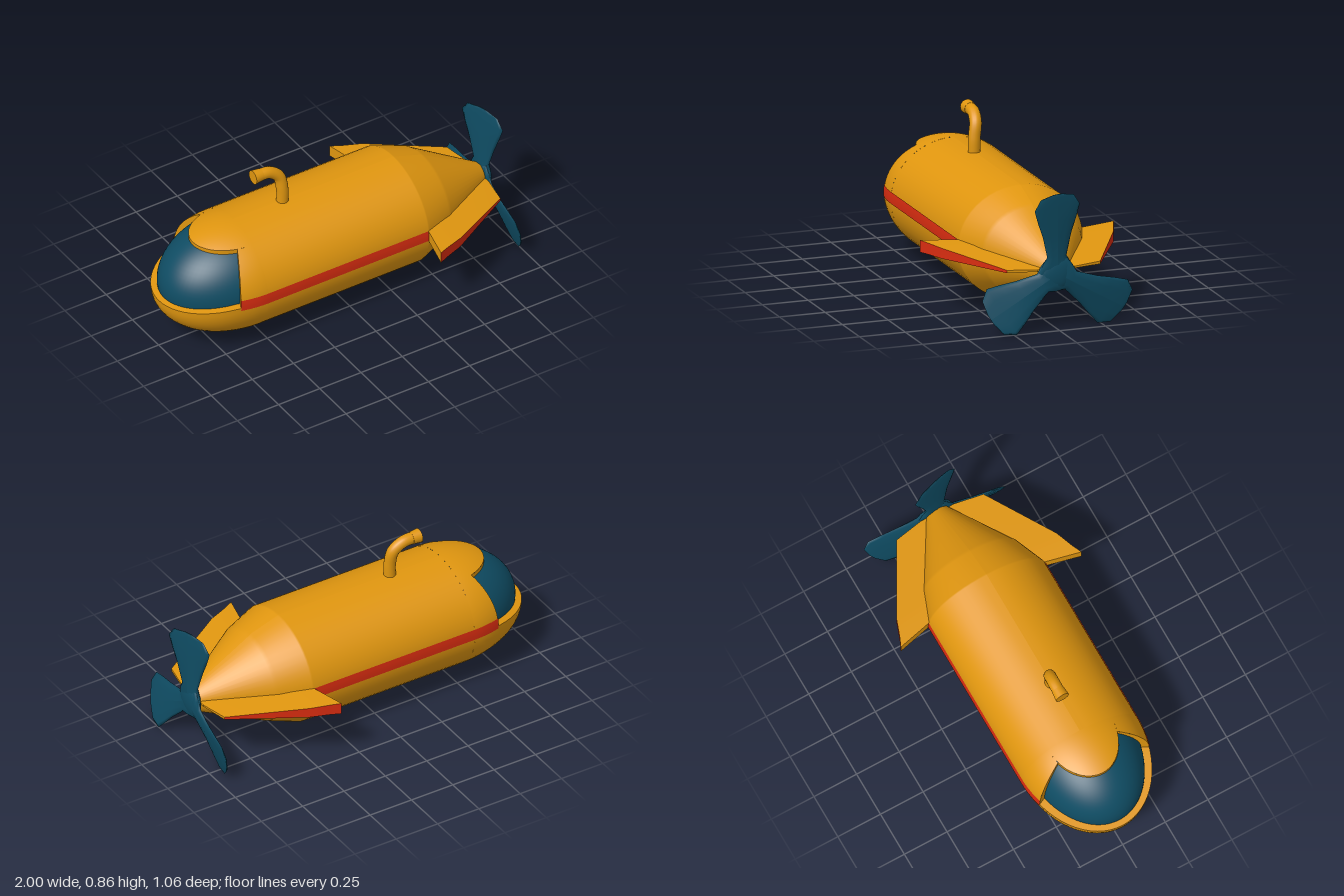
import * as THREE from 'three';

const orange = new THREE.MeshStandardMaterial({ color: 0xe0960f, side: THREE.DoubleSide });
const blue = new THREE.MeshStandardMaterial({ color: 0x0f4c63, side: THREE.DoubleSide });
const red = new THREE.MeshStandardMaterial({ color: 0xd82c10, side: THREE.DoubleSide });

const Y = 0.34, RY = 0.305, RZ = 0.342; // hull axis height and radii
const NX = -0.55, NA = 0.45;            // nose centre and length
const H = Math.PI / 2;
const ROOF = 0.57;                      // polar angle where the roof ends
const CUT = 1.22;                       // half angle of the window opening

function add(parent, name, geometry, material) {
  const mesh = new THREE.Mesh(geometry, material);
  mesh.name = name;
  parent.add(mesh);
  return mesh;
}

// Surface through rows of [x, y, z] points
function loft(rows) {
  const n = rows[0].length, index = [];
  for (let i = 0; i < rows.length - 1; i++)
    for (let j = 0; j < n - 1; j++) {
      const a = i * n + j, b = a + n;
      index.push(a, a + 1, b, b, a + 1, b + 1);
    }
  const g = new THREE.BufferGeometry();
  g.setAttribute('position', new THREE.Float32BufferAttribute(rows.flat(2), 3));
  g.setIndex(index);
  g.computeVertexNormals();
  return g;
}

// Piece of the ellipsoidal nose
function nosePiece(phi, phiLen, theta, thetaLen, a = NA, b = RY, c = RZ) {
  return new THREE.SphereGeometry(1, 32, 16, phi, phiLen, theta, thetaLen)
    .scale(a, b, c).translate(NX, Y, 0);
}

// Dip the rim of the lower nose towards its tip
function dip(g) {
  const p = g.attributes.position;
  for (let i = 0; i < p.count; i++) {
    const t = Math.max(0, (-0.7 - p.getX(i)) / 0.3);
    const d = 0.035 * t * (1 + (p.getY(i) - Y) / RY);
    p.setY(i, p.getY(i) - d);
  }
  g.computeVertexNormals();
  return g;
}

function buildHull(group) {
  // Body and tapered tail: x, centre y, vertical radius, side radius
  const sections = [
    [NX, Y, RY, RZ], [0.42, Y, RY, RZ], [0.43, Y - 0.001, RY - 0.003, RZ - 0.003],
    [0.59, 0.34, 0.248, 0.276], [0.61, 0.338, 0.237, 0.264],
    [0.95, 0.315, 0.065, 0.06], [0.965, 0.313, 0.001, 0.001],
  ];
  const rows = sections.map(([x, y, ry, rz]) => Array.from({ length: 49 }, (_, i) => {
    const t = (i % 48) / 48 * Math.PI * 2;
    return [x, y + ry * Math.cos(t), rz * Math.sin(t)];
  }));
  add(group, 'hullBody', loft(rows), orange);

  // Nose: lower bowl, ledge, roof with lip, and side cheeks
  add(group, 'noseBowl', dip(nosePiece(-H, Math.PI, H, H)), orange);
  const ledge = new THREE.RingGeometry(0.8, 1, 32, 3, H, Math.PI)
    .rotateX(-H).scale(NA, 1, RZ).translate(NX, Y, 0);
  add(group, 'noseLedge', dip(ledge), orange);
  add(group, 'noseRoof', nosePiece(-H, Math.PI, 0, ROOF), orange);

  const s = Math.sin(ROOF), top = Y + RY * Math.cos(ROOF);
  const ring = (k, y) => Array.from({ length: 25 }, (_, i) => {
    const p = -CUT + 2 * CUT * i / 24;
    return [NX - NA * s * k * Math.cos(p), y, RZ * s * k * Math.sin(p)];
  });
  add(group, 'roofLip', loft([ring(1, top), ring(1, top - 0.025)]), orange);
  add(group, 'roofUnderside', loft([ring(1, top - 0.025), ring(0.6, top - 0.025)]), orange);

  for (const side of [1, -1]) {
    const start = side > 0 ? CUT : -H;
    add(group, 'noseCheek', nosePiece(start, H - CUT, ROOF, H - ROOF), orange);
    const wall = [1, 0.8].map(k => Array.from({ length: 13 }, (_, i) => {
      const t = ROOF + (H - ROOF) * i / 12, r = k * Math.sin(t);
      return [NX - NA * r * Math.cos(CUT), Y + RY * Math.cos(t), side * RZ * r * Math.sin(CUT)];
    }));
    add(group, 'windowFrame', loft(wall), orange);
  }

  // Recessed wraparound window
  add(group, 'window', nosePiece(-CUT - 0.1, 2 * CUT + 0.2, 0.5, 1.24, 0.42, 0.29, 0.3), blue);
}

// Band lying on the hull side
function buildStripe(group, side) {
  const xs = [-0.705, -0.66, -0.61, -0.58, NX, 0.42];
  const rows = xs.map(x => {
    const k = x < NX ? Math.sqrt(1 - ((x - NX) / NA) ** 2) : 1;
    return [0.325, 0.345, 0.365, 0.385].map(y => {
      const v = (y - Y) / (RY * k);
      return [x, y, side * (RZ * k * Math.sqrt(1 - v * v) + 0.003)];
    });
  });
  add(group, 'sideStripe', loft(rows), red);
}

// Swept tail fin with a coloured outer edge
function buildFin(group, side) {
  const fin = new THREE.Group();
  fin.name = 'tailFin';
  // Outline: x, outer z, inner z, top y
  const outline = [
    [0.375, 0.53, 0.53, 0.387], [0.43, 0.506, 0.3, 0.383],
    [0.53, 0.47, 0.24, 0.378], [0.91, 0.255, 0.05, 0.338], [0.94, 0.1, 0.03, 0.333],
  ];
  const bottom = 0.323;
  const outer = o => [[o[0], o[3], side * o[1]], [o[0], bottom, side * o[1]]];
  const inner = o => [[o[0], bottom, side * o[2]], [o[0], o[3], side * o[2]]];
  add(fin, 'finTop', loft(outline.map(o => [inner(o)[1], outer(o)[0]])), orange);
  add(fin, 'finBottom', loft(outline.map(o => [outer(o)[1], inner(o)[0]])), orange);
  add(fin, 'finFront', loft(outline.slice(0, 2).map(inner)), orange);
  add(fin, 'finEdge', loft(outline.slice(0, 4).map(outer)), red);
  add(fin, 'finRear', loft(outline.slice(3).map(outer)), orange);
  group.add(fin);
}

function buildPropeller(group) {
  const propeller = new THREE.Group();
  propeller.name = 'propeller';
  propeller.position.set(0.955, 0.31, 0);
  // Blade sections: distance from hub, half width, half thickness
  const sections = [
    [0, 0.1, 0.02], [0.05, 0.08, 0.02], [0.09, 0.056, 0.018], [0.2, 0.085, 0.015],
    [0.28, 0.115, 0.013], [0.35, 0.137, 0.01], [0.405, 0.1, 0.007], [0.42, 0.03, 0.004], [0.421, 0, 0],
  ];
  const rows = sections.map(([r, w, t]) => Array.from({ length: 13 }, (_, i) => {
    const a = (i % 12) / 12 * Math.PI * 2, s = w * Math.sin(a);
    const twist = 0.27 * Math.min(1, r / 0.15);
    return [t * Math.cos(a) + twist * s + 0.01 * r / 0.42, r, s];
  }));
  const blade = loft(rows);
  for (let i = 0; i < 3; i++)
    add(propeller, 'propellerBlade', blade, blue).rotation.x = i * Math.PI * 2 / 3;
  add(propeller, 'propellerHub', new THREE.SphereGeometry(1, 24, 12).scale(0.025, 0.09, 0.09), blue);
  group.add(propeller);
}

function buildPeriscope(group) {
  const path = new THREE.CatmullRomCurve3([
    [-0.25, 0.62, 0], [-0.25, 0.72, -0.002], [-0.264, 0.795, -0.014],
    [-0.315, 0.834, -0.022], [-0.375, 0.84, -0.024], [-0.41, 0.84, -0.024],
  ].map(p => new THREE.Vector3(...p)));
  add(group, 'periscopePipe', new THREE.TubeGeometry(path, 32, 0.032, 16), orange);
  const head = new THREE.CylinderGeometry(0.038, 0.033, 0.05, 20).rotateZ(H);
  add(group, 'periscopeHead', head, orange).position.set(-0.388, 0.84, -0.024);
}

export function createModel() {
  const group = new THREE.Group();
  group.name = 'submarine';
  buildHull(group);
  for (const side of [1, -1]) {
    buildStripe(group, side);
    buildFin(group, side);
  }
  buildPropeller(group);
  buildPeriscope(group);
  return group;
}
